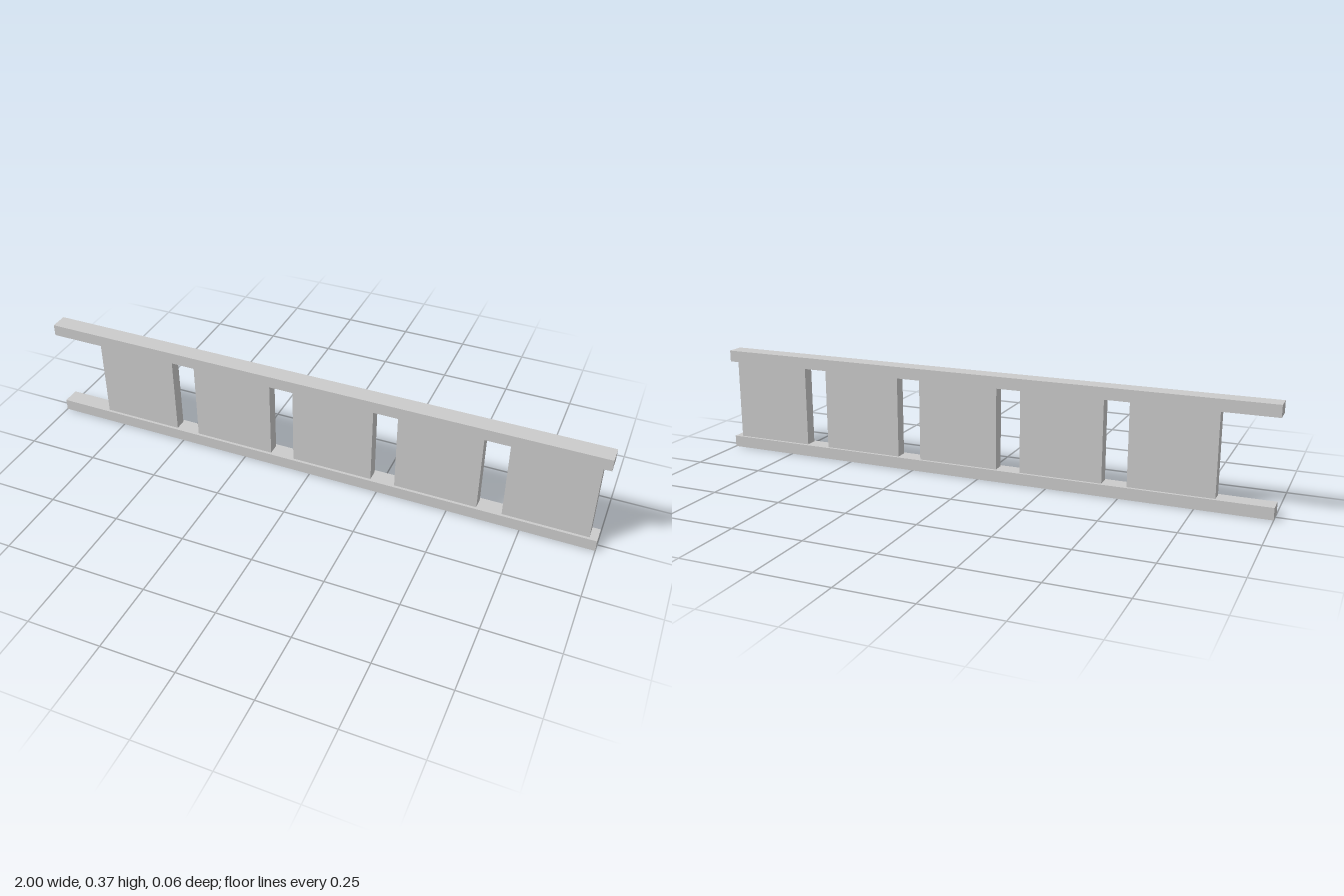
import * as THREE from 'three';

export function createModel() {
  const group = new THREE.Group();
  const material = new THREE.MeshStandardMaterial({ color: 0xcccccc });

  const addBox = (name, width, height, depth, x, y) => {
    const mesh = new THREE.Mesh(new THREE.BoxGeometry(width, height, depth), material);
    mesh.name = name;
    mesh.position.set(x, y, 0);
    group.add(mesh);
  };

  const railHeight = 0.041, totalHeight = 0.37;
  const panelHeight = totalHeight - 2 * railHeight;

  // Long rails along the bottom and top
  addBox('bottomRail', 2, railHeight, 0.062, 0, railHeight / 2);
  addBox('topRail', 2, railHeight, 0.062, 0, totalHeight - railHeight / 2);

  // Five evenly spaced panels, set closer to the left end
  for (let i = 0; i < 5; i++) {
    addBox(`panel${i + 1}`, 0.289, panelHeight, 0.042, -0.671 + i * 0.375, totalHeight / 2);
  }

  return group;
}
